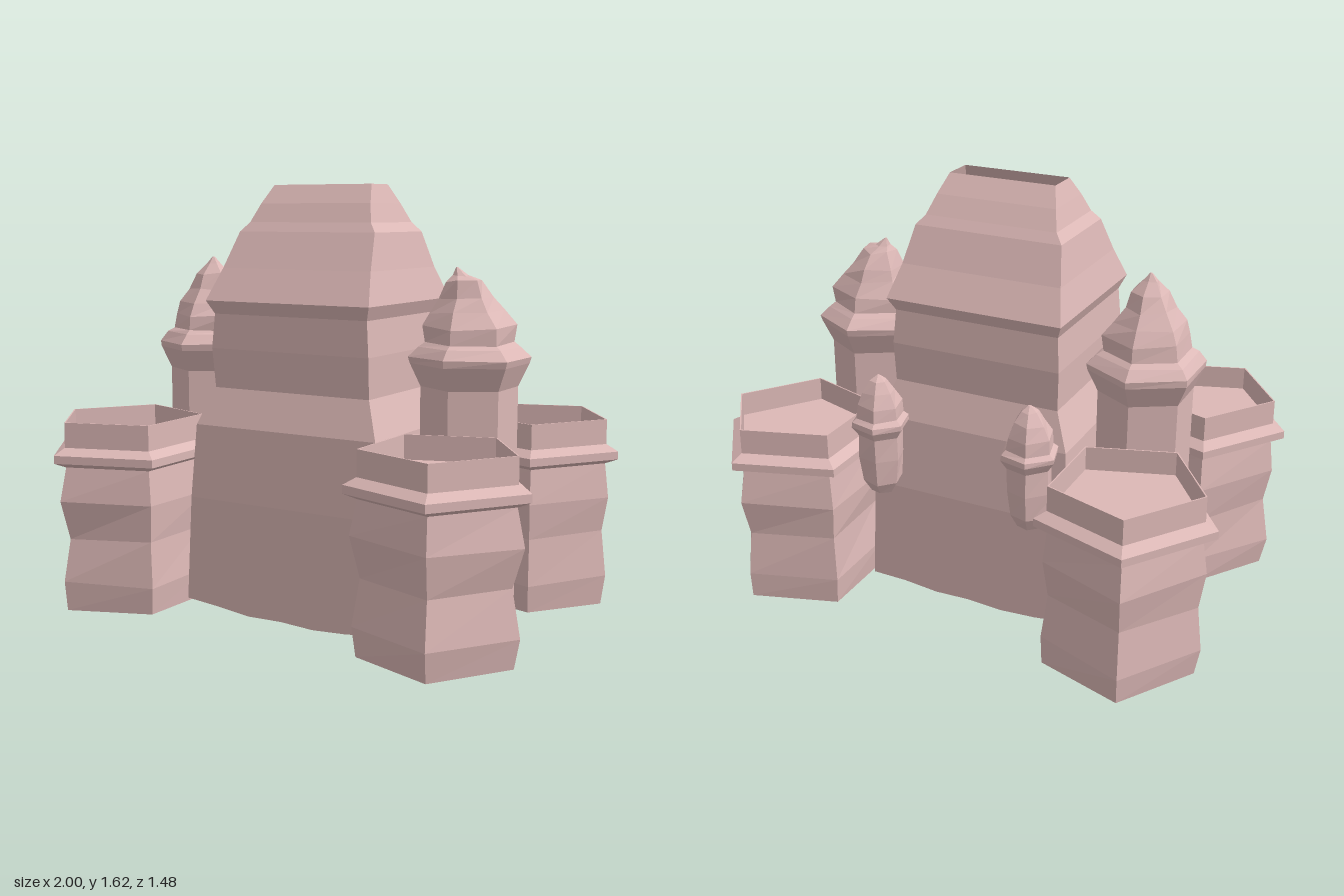
import * as THREE from 'three';

const sand = new THREE.MeshStandardMaterial({ color: 0xdcb8b6, flatShading: true, side: THREE.DoubleSide });
sand.name = 'pinkSand';

// Small seeded noise in -1..1
function makeNoise(seed) {
  let s = seed;
  return () => {
    s = (s * 16807) % 2147483647;
    return (s / 2147483647) * 2 - 1;
  };
}

// Skin a stack of equal-length rings, bottom to top; caps are fans
function loft(rings, capBottom, capTop) {
  const pos = [];
  const tri = (...pts) => pts.forEach((p) => pos.push(p.x, p.y, p.z));
  const n = rings[0].length;
  const centre = (ring) => ring.reduce((a, p) => a.add(p), new THREE.Vector3()).divideScalar(n);
  for (let r = 0; r + 1 < rings.length; r++) {
    const lo = rings[r], up = rings[r + 1];
    for (let i = 0; i < n; i++) {
      const j = (i + 1) % n;
      tri(lo[i], up[i], lo[j]);
      tri(lo[j], up[i], up[j]);
    }
  }
  const first = rings[0], last = rings[rings.length - 1];
  const c0 = centre(first), c1 = centre(last);
  for (let i = 0; i < n; i++) {
    const j = (i + 1) % n;
    if (capBottom) tri(c0, first[i], first[j]);
    if (capTop) tri(c1, last[j], last[i]);
  }
  const geo = new THREE.BufferGeometry();
  geo.setAttribute('position', new THREE.Float32BufferAttribute(pos, 3));
  geo.computeVertexNormals();
  return geo;
}

// Polygonal ring; offset shifts it sideways, wobble roughens it
function polyRing(sides, radius, y, turn, noise, wobble = 0, dx = 0, dz = 0) {
  return Array.from({ length: sides }, (_, i) => {
    const a = turn + (i / sides) * Math.PI * 2;
    const r = radius + noise() * wobble;
    return new THREE.Vector3(Math.cos(a) * r + dx, y + noise() * wobble * 0.8, Math.sin(a) * r + dz);
  });
}

function addPart(group, name, geo, x = 0, z = 0) {
  const mesh = new THREE.Mesh(geo, sand);
  mesh.name = name;
  mesh.position.set(x, 0, z);
  group.add(mesh);
}

// Five-sided bastion with a collar and a sunken top: [y, radius, wobble]
function cornerTower(side, seed) {
  const noise = makeNoise(seed);
  const profile = [
    [0.03, 0.286, 0.008], [0.14, 0.297, 0.006], [0.31, 0.277, 0.01], [0.45, 0.302, 0.008],
    [0.58, 0.28, 0], [0.60, 0.33, 0], [0.63, 0.33, 0], [0.655, 0.283, 0],
    [0.75, 0.282, 0], [0.75, 0.276, 0], [0.66, 0.276, 0],
  ];
  const turn = side > 0 ? 0 : Math.PI;
  return loft(profile.map(([y, r, w]) => polyRing(5, r, y, turn, noise, w)), true, true);
}

// Hexagonal turret with a flared lip and drooping roof: [y, radius, wobble, dx]
function sideTurret(lean, seed) {
  const noise = makeNoise(seed);
  const top = lean > 0 ? 1.33 : 1.35;
  const k = lean > 0 ? 1 : 0;
  const profile = [
    [0.04, 0.178, 0], [0.90, 0.178, 0], [0.985, 0.218, 0], [1.01, 0.222, 0.004],
    [1.045, 0.188, 0.004], [1.06, 0.165, 0.004], [1.12, 0.163, 0.012],
    [1.17, 0.128, 0.012, -0.01 * k], [1.22, 0.093, 0.01, -0.015 * k],
    [1.28, 0.065, 0.01, -0.02 * k], [top - 0.03, 0.03, 0.004, -0.04 * k], [top, 0.004, 0, -0.055 * k],
  ];
  return loft(profile.map(([y, r, w, dx = 0]) => polyRing(6, r, y, Math.PI / 6, noise, w, dx)), true, true);
}

// Small hanging turret on the back wall
function backTurret(seed) {
  const noise = makeNoise(seed);
  const profile = [
    [0.49, 0.045, 0.004], [0.54, 0.075, 0.004], [0.64, 0.085, 0.003], [0.73, 0.085, 0.002],
    [0.765, 0.108, 0.002], [0.785, 0.108, 0.002], [0.80, 0.09, 0.004], [0.85, 0.083, 0.005],
    [0.90, 0.06, 0.005], [0.94, 0.032, 0.003], [0.96, 0.006, 0],
  ];
  return loft(profile.map(([y, r, w]) => polyRing(6, r, y, 0.25, noise, w)), true, true);
}

// Rectangular keep, open at both ends: [y, half width, back z, front z]
function keep() {
  const noise = makeNoise(77);
  const steps = 6;
  const profile = [
    [0.04, 0.425, -0.345, 0.385], [0.45, 0.405, -0.34, 0.38], [0.73, 0.388, -0.315, 0.362],
    [0.87, 0.333, -0.27, 0.31], [1.02, 0.338, -0.276, 0.325], [1.15, 0.328, -0.265, 0.318],
    [1.20, 0.35, -0.293, 0.345], [1.32, 0.318, -0.225, 0.275], [1.455, 0.292, -0.165, 0.2],
    [1.49, 0.262, -0.14, 0.175], [1.56, 0.238, -0.095, 0.135], [1.63, 0.212, -0.042, 0.082],
  ];
  const rings = profile.map(([y, w, zb, zf], row) => {
    const corners = [[w, zb], [w, zf], [-w, zf], [-w, zb]];
    const ring = [];
    corners.forEach(([x, z], c) => {
      const [x2, z2] = corners[(c + 1) % 4];
      for (let i = 0; i < steps; i++) {
        const t = i / steps;
        // Ragged foot, lowest in the middle of each wall
        const sag = row === 0 ? -0.025 * Math.sin(Math.PI * t) + noise() * 0.008 : 0;
        ring.push(new THREE.Vector3(x + (x2 - x) * t, y + sag, z + (z2 - z) * t));
      }
    });
    return ring;
  });
  return loft(rings, false, false);
}

export function createModel() {
  const group = new THREE.Group();
  group.name = 'sandCastle';
  addPart(group, 'keep', keep());
  for (const side of [1, -1]) {
    const label = side > 0 ? 'left' : 'right';
    addPart(group, label + 'FrontTower', cornerTower(side, 11 + side), side * 0.67, 0.42);
    addPart(group, label + 'BackTower', cornerTower(side, 31 + side), side * 0.67, -0.43);
    addPart(group, label + 'SideTurret', sideTurret(side, 51 + side), side * 0.572, -0.01);
    addPart(group, label + 'BackTurret', backTurret(91 + side), side * 0.305, -0.445);
  }
  return group;
}
